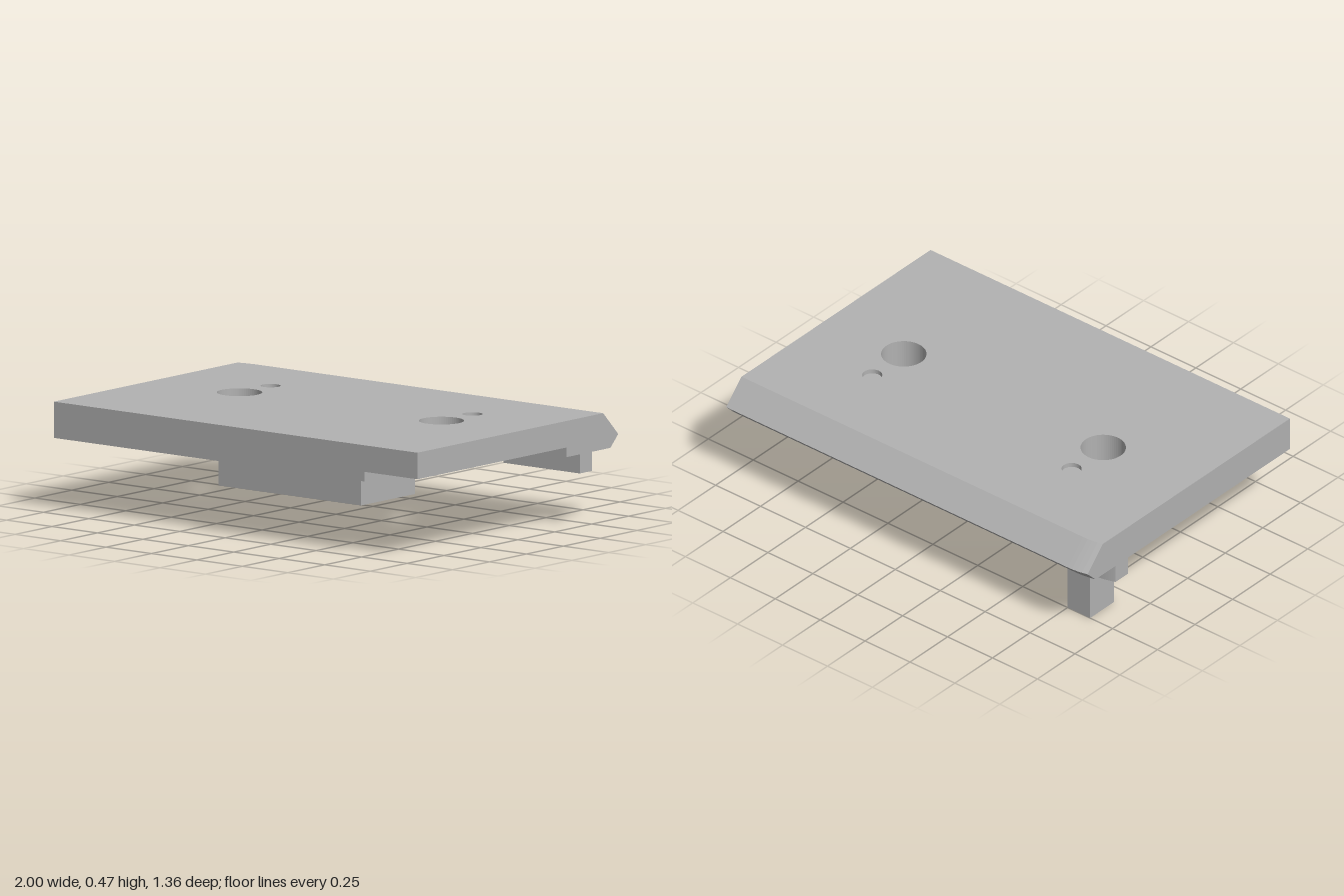
import * as THREE from 'three';

export function createModel() {
  const group = new THREE.Group();
  const grey = new THREE.MeshStandardMaterial({ color: 0xb2b2b2 });
  const holeX = [-0.53, 0.58];

  const add = (name, geometry) => {
    const mesh = new THREE.Mesh(geometry, grey);
    mesh.name = name;
    group.add(mesh);
    return mesh;
  };
  const box = (name, x0, x1, y0, y1, z0, z1) =>
    add(name, new THREE.BoxGeometry(x1 - x0, y1 - y0, z1 - z0))
      .position.set((x0 + x1) / 2, (y0 + y1) / 2, (z0 + z1) / 2);

  // Extrudes a plan outline (x, -z) upwards from y0 to y1
  const slab = (name, shape, y0, y1) => {
    const g = new THREE.ExtrudeGeometry(shape, { depth: y1 - y0, bevelEnabled: false, curveSegments: 32 });
    g.rotateX(-Math.PI / 2).translate(0, y0, 0);
    return add(name, g);
  };
  const drill = (shape) => {
    for (const x of holeX) {
      shape.holes.push(new THREE.Path().absarc(x, 0, 0.097, 0, Math.PI * 2, true));
      shape.holes.push(new THREE.Path().absarc(x, 0.21, 0.043, 0, Math.PI * 2, true));
    }
    return shape;
  };

  // Upper layer of the plate, full width
  const upper = new THREE.Shape();
  upper.moveTo(-1, -0.68).lineTo(1, -0.68).lineTo(1, 0.55).lineTo(-1, 0.55).closePath();
  slab('plateTop', drill(upper), 0.355, 0.47);

  // Lower layer, cut away along one side with a rounded inner corner
  const lower = new THREE.Shape();
  lower.moveTo(-1, -0.68).lineTo(0.71, -0.68).lineTo(0.71, 0.275);
  lower.absarc(0.765, 0.275, 0.055, Math.PI, Math.PI / 2, true);
  lower.lineTo(1, 0.33).lineTo(1, 0.55).lineTo(-1, 0.55).closePath();
  slab('plateBottom', drill(lower), 0.313, 0.355);

  // Thin webs closing the small holes
  for (const x of holeX) {
    add('holeWeb', new THREE.CylinderGeometry(0.043, 0.043, 0.02, 32)).position.set(x, 0.44, -0.21);
  }

  // Pointed rear edge, curving forward slightly at one end
  const profile = new THREE.Shape();
  profile.moveTo(0.55, 0.313).lineTo(0.627, 0.313).lineTo(0.68, 0.366)
    .lineTo(0.578, 0.47).lineTo(0.55, 0.47).closePath();
  const edge = new THREE.ExtrudeGeometry(profile, { depth: 2, steps: 80, bevelEnabled: false });
  edge.rotateY(Math.PI / 2).translate(-1, 0, 0);
  const p = edge.attributes.position;
  for (let i = 0; i < p.count; i++) {
    const d = Math.max(0, -0.9 - p.getX(i));
    if (p.getZ(i) < -0.56) p.setZ(i, p.getZ(i) + 1.4 * d * d);
  }
  edge.computeVertexNormals();
  add('rearEdge', edge);

  // Block under the front, tabs under the rear and the post
  box('frontBlock', -0.095, 0.69, 0.207, 0.313, 0.313, 0.68);
  box('leftTab', 0.58, 1, 0.23, 0.313, -0.503, -0.42);
  box('post', -0.875, -0.75, 0, 0.313, -0.5, -0.34);

  const tab = new THREE.Shape();
  tab.moveTo(-0.53, 0.42).lineTo(-0.53, 0.503).lineTo(-0.87, 0.503);
  tab.quadraticCurveTo(-0.94, 0.503, -1, 0.48);
  tab.lineTo(-1, 0.397);
  tab.quadraticCurveTo(-0.94, 0.42, -0.87, 0.42);
  tab.closePath();
  slab('rightTab', tab, 0.23, 0.313);

  return group;
}
